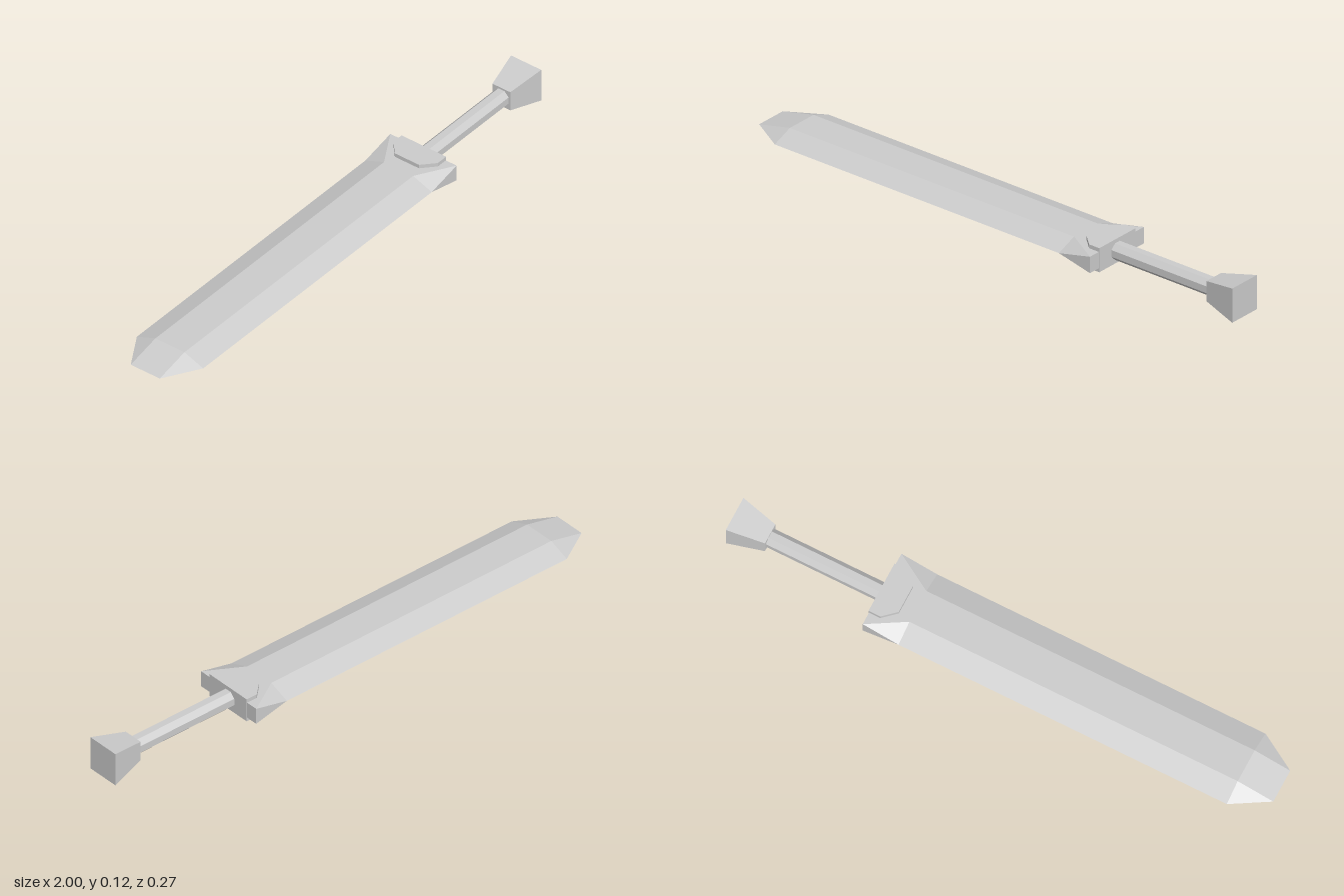
import * as THREE from 'three';

const MID = 0.063; // height of the sword's long axis

const material = () => new THREE.MeshStandardMaterial({ color: 0xcccccc, flatShading: true });

// Skins rings of [y, z] points placed along x, folding each quad outward, and caps both ends.
function loft(sections) {
  const rings = sections.map(({ x, ring }) => ring.map(([y, z]) => new THREE.Vector3(x, y, z)));
  const pos = [];
  const normal = (a, b, c) => b.clone().sub(a).cross(c.clone().sub(a));
  const tri = (a, b, c) => {
    if (normal(a, b, c).length() > 1e-8) for (const p of [a, b, c]) pos.push(p.x, p.y, p.z);
  };
  const n = rings[0].length;
  for (let i = 0; i < rings.length - 1; i++) {
    for (let j = 0; j < n; j++) {
      const k = (j + 1) % n;
      const a = rings[i][j], b = rings[i][k], c = rings[i + 1][k], d = rings[i + 1][j];
      if (normal(a, b, c).dot(d.clone().sub(a)) > 1e-9) { tri(a, b, d); tri(b, c, d); }
      else { tri(a, b, c); tri(a, c, d); }
    }
  }
  const first = rings[0], last = rings[rings.length - 1];
  for (let j = 1; j < n - 1; j++) {
    tri(first[0], first[j + 1], first[j]);
    tri(last[0], last[j], last[j + 1]);
  }
  const g = new THREE.BufferGeometry();
  g.setAttribute('position', new THREE.Float32BufferAttribute(pos, 3));
  g.computeVertexNormals();
  return g;
}

// Blade section: flat of half width a and half thickness t, edge at half width w and half thickness h
const bladeRing = (a, t, w, h) => [
  [t, -a], [t, a], [h, w], [-h, w], [-t, a], [-t, -a], [-h, -w], [h, -w],
];

const squareRing = (s) => [[s, -s], [s, s], [-s, s], [-s, -s]];

export function createModel() {
  const sword = new THREE.Group();
  sword.name = 'sword';
  const add = (name, geometry) => {
    const mesh = new THREE.Mesh(geometry, material());
    mesh.name = name;
    mesh.position.y = MID;
    sword.add(mesh);
  };

  // Blade: chisel tip, bevelled edges, and edges thickening to a block at the guard
  add('blade', loft([
    { x: -1, ring: bladeRing(0.06, 0, 0.06, 0) },
    { x: -0.87, ring: bladeRing(0.06, 0.03, 0.137, 0) },
    { x: 0.33, ring: bladeRing(0.06, 0.03, 0.137, 0) },
    { x: 0.461, ring: bladeRing(0.06, 0.03, 0.137, 0.03) },
  ]));

  // Guard: plate with chamfered front corners, standing proud of both blade faces
  const outline = new THREE.Shape([
    [0.463, -0.092], [0.463, 0.092], [0.42, 0.092], [0.374, 0.05], [0.374, -0.05], [0.42, -0.092],
  ].map(([x, z]) => new THREE.Vector2(x, z)));
  const guard = new THREE.ExtrudeGeometry(outline, { depth: 0.088, bevelEnabled: false });
  guard.translate(0, 0, -0.044).rotateX(-Math.PI / 2);
  add('guard', guard);

  // Grip: octagonal bar with flats facing up and sideways
  const grip = new THREE.CylinderGeometry(0.0325, 0.0325, 0.42, 8, 1);
  grip.rotateY(Math.PI / 8).rotateZ(-Math.PI / 2).translate(0.665, 0, 0);
  add('grip', grip);

  // Pommel: square block flaring towards the end
  add('pommel', loft([
    { x: 0.87, ring: squareRing(0.037) },
    { x: 1, ring: squareRing(0.0625) },
  ]));

  return sword;
}
